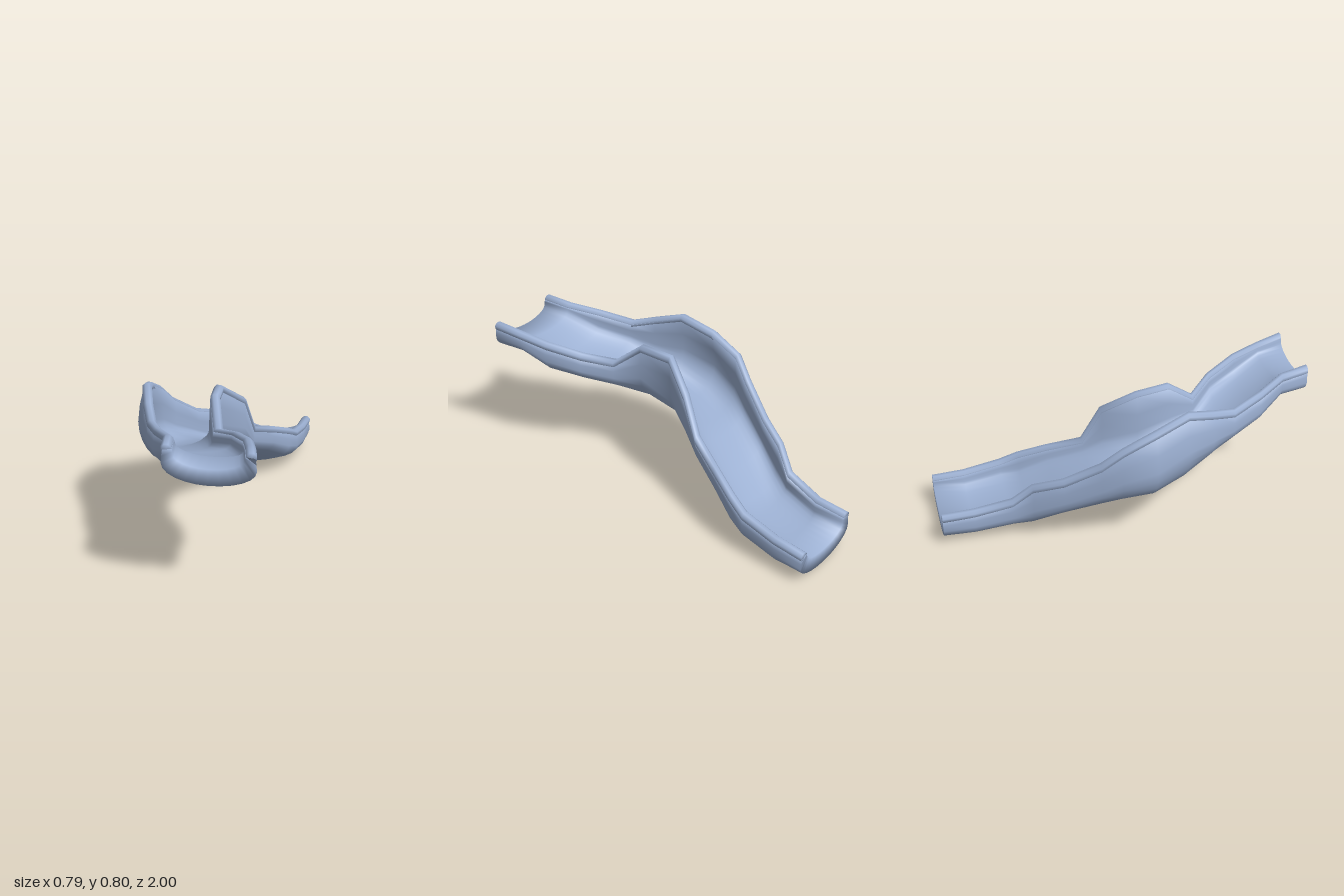
import * as THREE from 'three';

// Stations along the slide, from the high front end to the low back end
const KEYS = ['z', 'lx', 'ly', 'lb', 'bx', 'by', 'rb', 'rx', 'ry'];
// z, left rim x/top, left bulge x, floor x/y, right bulge x, right rim x/top (as seen from the front)
const STATIONS = [
  [1.0, -0.02, 0.80, -0.045, 0.17, 0.615, 0.392, 0.367, 0.79],
  [0.85, -0.045, 0.785, -0.07, 0.15, 0.612, 0.362, 0.337, 0.765],
  [0.7, -0.13, 0.75, -0.16, 0.1, 0.525, 0.325, 0.3, 0.735],
  [0.53, -0.205, 0.715, -0.235, -0.01, 0.485, 0.24, 0.215, 0.69],
  [0.4, -0.255, 0.755, -0.29, -0.1, 0.43, 0.122, 0.1, 0.645],
  [0.25, -0.3, 0.8, -0.352, -0.2, 0.375, 0.075, 0.052, 0.765],
  [0.07, -0.335, 0.742, -0.4, -0.21, 0.31, 0.05, 0.035, 0.752],
  [-0.1, -0.33, 0.66, -0.358, -0.16, 0.275, 0.145, 0.125, 0.63],
  [-0.2, -0.285, 0.56, -0.312, -0.11, 0.24, 0.182, 0.162, 0.43],
  [-0.38, -0.195, 0.435, -0.225, -0.02, 0.16, 0.265, 0.245, 0.36],
  [-0.53, -0.12, 0.375, -0.147, 0.06, 0.07, 0.332, 0.31, 0.295],
  [-0.63, -0.065, 0.265, -0.09, 0.12, 0.045, 0.365, 0.34, 0.245],
  [-0.83, -0.028, 0.21, -0.05, 0.16, 0.005, 0.38, 0.356, 0.2],
  [-1.0, -0.02, 0.2, -0.045, 0.17, 0.015, 0.392, 0.367, 0.187],
].map(row => Object.fromEntries(KEYS.map((k, i) => [k, row[i]])));

const ARC = 6;          // steps in each quarter of the trough
const FLOOR = 0.08;     // floor thickness
const WALL = 0.055;     // side wall thickness

// Points from the floor centre round to a bulge, then up to the rim
function halfTrough(bx, by, bulgeX, bulgeY, rimX, rimY) {
  const pts = [];
  for (let i = 0; i <= ARC; i++) {
    const a = (i / ARC) * Math.PI / 2;
    pts.push([bx + (bulgeX - bx) * Math.sin(a), by + (bulgeY - by) * (1 - Math.cos(a))]);
  }
  pts.push([(bulgeX * 2 + rimX) / 3, (bulgeY + rimY) / 2], [rimX, rimY]);
  return pts;
}

// Closed U section: outer skin left to right, then inner skin right to left
function troughRing(s) {
  const side = (bulge, rim, top, sign) => {
    const mid = (s.by + top) / 2;
    const floor = s.by + FLOOR;
    const innerMid = Math.min(top - 0.035, Math.max(mid, floor + 0.06));
    return {
      outer: halfTrough(s.bx, s.by, bulge, mid, rim + sign * 0.018, top - 0.025),
      inner: halfTrough(s.bx, floor, bulge - sign * WALL, innerMid, rim - sign * 0.025, top - 0.02),
    };
  };
  const l = side(s.lb, s.lx, s.ly, -1);
  const r = side(s.rb, s.rx, s.ry, 1);
  const outer = [...l.outer.reverse(), ...r.outer.slice(1)];
  const inner = [...l.inner.reverse(), ...r.inner.slice(1)].reverse();
  return [...outer, ...inner].map(([x, y]) => [x, y, s.z]);
}

// Oval ring for the rolled rail on a rim
function railRing(x, top, z) {
  const ring = [];
  for (let i = 0; i < 8; i++) {
    const a = (i + 0.5) / 8 * Math.PI * 2;
    ring.push([x + 0.027 * Math.cos(a), top - 0.023 + 0.025 * Math.sin(a), z]);
  }
  return ring;
}

// Skin a row of closed rings and close both ends
function loft(rings) {
  const n = rings[0].length;
  const index = [];
  for (let s = 0; s < rings.length - 1; s++) {
    for (let i = 0; i < n; i++) {
      const a = s * n + i, b = s * n + (i + 1) % n;
      index.push(a, a + n, b, b, a + n, b + n);
    }
  }
  const last = (rings.length - 1) * n;
  for (let i = 0; i < n / 2 - 1; i++) {
    const [a, b, c, d] = [i, i + 1, n - 2 - i, n - 1 - i];
    index.push(a, b, c, a, c, d);
    index.push(last + a, last + c, last + b, last + a, last + d, last + c);
  }
  const geo = new THREE.BufferGeometry();
  geo.setAttribute('position', new THREE.Float32BufferAttribute(rings.flat(2), 3));
  geo.setIndex(index);
  geo.computeVertexNormals();
  return geo;
}

export function createModel() {
  const group = new THREE.Group();
  group.name = 'slide';
  const material = new THREE.MeshStandardMaterial({ color: 0x9cb0d2 });
  const add = (name, rings) => {
    const mesh = new THREE.Mesh(loft(rings), material);
    mesh.name = name;
    group.add(mesh);
  };

  // Winding chute
  add('chute', STATIONS.map(troughRing));
  // Rolled rails along both rims
  add('rightRail', STATIONS.map(s => railRing(s.lx, s.ly, s.z)));
  add('leftRail', STATIONS.map(s => railRing(s.rx, s.ry, s.z)));

  return group;
}
